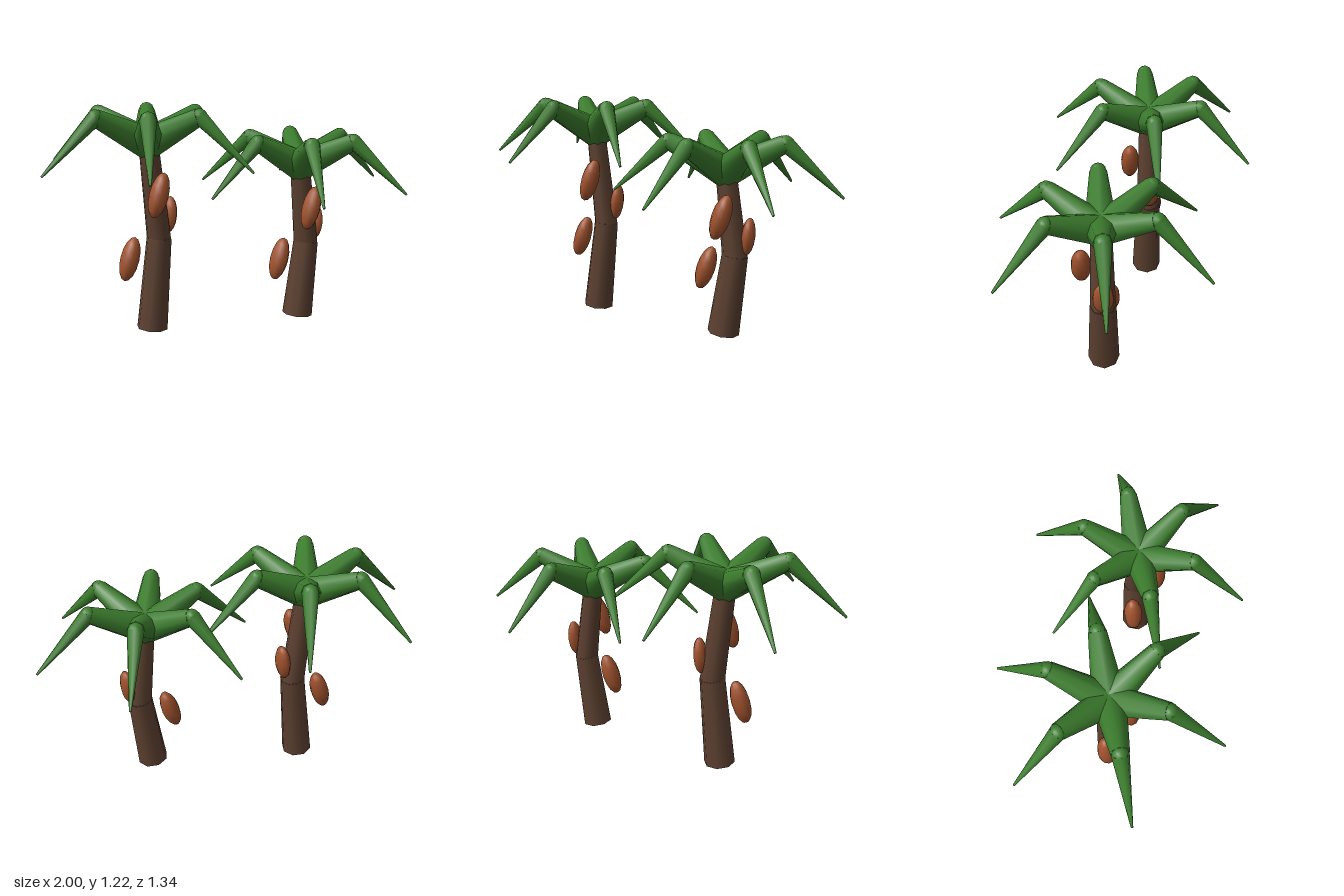
import * as THREE from 'three';

const bark = new THREE.MeshStandardMaterial({ name: 'bark brown', color: 0x5c4030 });
const leaf = new THREE.MeshStandardMaterial({ name: 'leaf green', color: 0x3c7d2e });
const husk = new THREE.MeshStandardMaterial({ name: 'husk orange', color: 0xa0522d });

const UP = new THREE.Vector3(0, 1, 0);

// Tapered round limb between two points
function limb(name, from, to, r0, r1, material, sides = 8) {
  const a = new THREE.Vector3(...from);
  const dir = new THREE.Vector3(...to).sub(a);
  const mesh = new THREE.Mesh(new THREE.CylinderGeometry(r1, r0, dir.length(), sides), material);
  mesh.name = name;
  mesh.position.copy(a).addScaledVector(dir, 0.5);
  mesh.quaternion.setFromUnitVectors(UP, dir.normalize());
  return mesh;
}

function ellipsoid(name, position, radii, tilt, material) {
  const mesh = new THREE.Mesh(new THREE.SphereGeometry(1, 10, 8), material);
  mesh.name = name;
  mesh.position.set(...position);
  mesh.scale.set(...radii);
  mesh.rotation.z = tilt;
  return mesh;
}

// Frond: rises to an elbow, then droops to a point
function frond() {
  const g = new THREE.Group();
  g.name = 'frond';
  const elbow = [0.3, 0.15, 0];
  g.add(
    limb('frondBase', [0, 0, 0], elbow, 0.085, 0.045, leaf),
    ellipsoid('frondElbow', elbow, [0.042, 0.042, 0.042], 0, leaf),
    limb('frondTip', elbow, [0.597, -0.118, 0], 0.043, 0.006, leaf),
  );
  return g;
}

function palm(name, x, z, h) {
  const tree = new THREE.Group();
  tree.name = name;
  tree.position.set(x, 0, z);

  // Bent trunk in two sections
  tree.add(
    limb('lowerTrunk', [0.003, 0.011, 0], [0.057, 0.513 * h, 0], 0.085, 0.069, bark),
    limb('upperTrunk', [0.057, 0.5 * h, 0], [0.006, 1.0 * h, 0], 0.067, 0.055, bark),
  );

  // Crown of six fronds
  const crown = new THREE.Group();
  crown.name = 'crown';
  crown.position.y = 1.03 * h;
  for (let i = 0; i < 6; i++) {
    const f = frond();
    f.rotation.y = (i * Math.PI) / 3;
    crown.add(f);
  }
  tree.add(crown);

  // Hanging fruit
  tree.add(
    ellipsoid('frontFruit', [-0.003, 0.77 * h, 0.105], [0.05, 0.122, 0.052], -0.3, husk),
    ellipsoid('leftFruit', [0.124, 0.635 * h, 0], [0.037, 0.1, 0.055], -0.1, husk),
    ellipsoid('rightFruit', [-0.103, 0.41 * h, -0.042], [0.05, 0.122, 0.054], -0.3, husk),
  );
  return tree;
}

export function createModel() {
  const model = new THREE.Group();
  model.name = 'palmTrees';
  model.add(palm('tallPalm', -0.4, -0.15, 1), palm('shortPalm', 0.395, 0.15, 0.85));
  return model;
}
